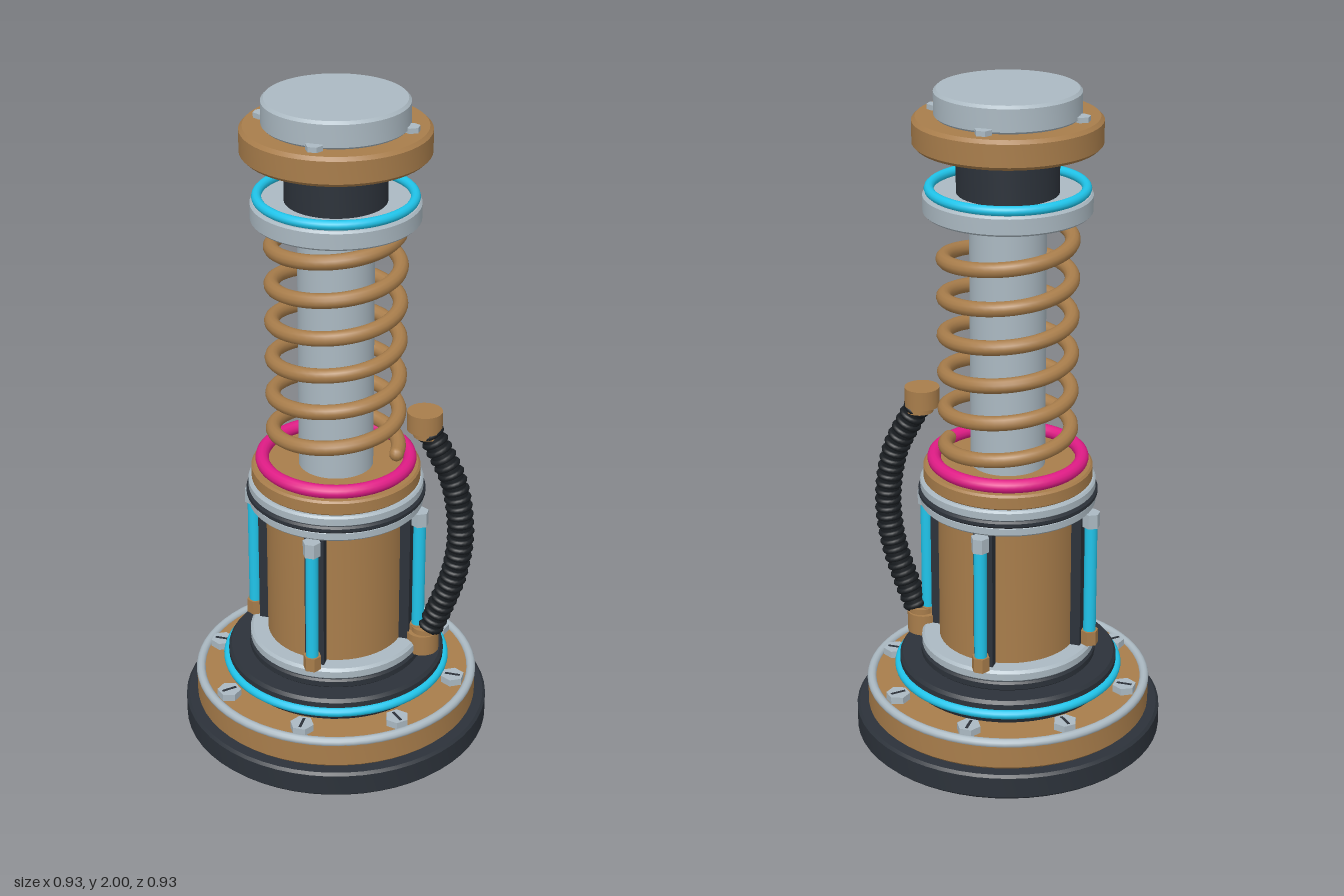
import * as THREE from 'three';
import { toCreasedNormals } from 'three/addons/utils/BufferGeometryUtils.js';

const mat = (color) => new THREE.MeshStandardMaterial({ color });

export function createModel() {
  const model = new THREE.Group();
  const brass = mat(0xa87d4b), dark = mat(0x2c323a), steel = mat(0xabb9c2);
  const cyan = mat(0x20c4ea), pink = mat(0xe01c86), rubber = mat(0x191d21);

  const add = (name, geometry, material, parent = model) => {
    const mesh = new THREE.Mesh(geometry, material);
    mesh.name = name;
    parent.add(mesh);
    return mesh;
  };

  // Closed turned part from [radius, height] pairs, bottom to top
  const turned = (name, profile, material) => {
    const points = [[0, profile[0][1]], ...profile, [0, profile[profile.length - 1][1]]];
    const lathe = new THREE.LatheGeometry(points.map(([r, y]) => new THREE.Vector2(r, y)), 56);
    return add(name, toCreasedNormals(lathe, 0.5), material);
  };
  // Disc with bevelled rims
  const disc = (name, r, y0, y1, material, b = 0.006) =>
    turned(name, [[r - b, y0], [r, y0 + b], [r, y1 - b], [r - b, y1]], material);

  const ring = (name, r, tube, y, material) => {
    const mesh = add(name, new THREE.TorusGeometry(r, tube, 12, 64), material);
    mesh.rotation.x = Math.PI / 2;
    mesh.position.y = y;
    return mesh;
  };
  const rod = (name, r, y0, y1, x, material, sides, parent) => {
    const geometry = new THREE.CylinderGeometry(r, r, y1 - y0, sides);
    const mesh = add(name, sides < 10 ? toCreasedNormals(geometry, 0.5) : geometry, material, parent);
    mesh.position.set(x, (y0 + y1) / 2, 0);
    return mesh;
  };
  // Repeats a group around the vertical axis
  const around = (name, count, build) => {
    for (let i = 0; i < count; i++) {
      const group = new THREE.Group();
      group.name = name;
      group.rotation.y = (i / count) * Math.PI * 2;
      build(group);
      model.add(group);
    }
  };

  // Base
  disc('foot', 0.465, 0, 0.08, dark, 0.008);
  disc('basePlate', 0.43, 0.08, 0.165, brass, 0.008);
  ring('basePlateRim', 0.418, 0.014, 0.163, steel);
  around('baseBolt', 8, (g) => {
    rod('boltHead', 0.036, 0.163, 0.187, 0.37, steel, 6, g);
    const slot = add('boltSlot', new THREE.BoxGeometry(0.046, 0.003, 0.008), dark, g);
    slot.position.set(0.37, 0.187, 0);
  });
  turned('baseTier', [[0.305, 0.165], [0.315, 0.185], [0.33, 0.195], [0.33, 0.238], [0.322, 0.248]], dark);
  ring('baseGlowRing', 0.332, 0.014, 0.208, cyan);

  // Lower collar and barrel
  disc('lowerCollarBand', 0.265, 0.246, 0.275, dark);
  disc('lowerCollar', 0.262, 0.273, 0.31, steel, 0.008);
  disc('barrel', 0.208, 0.3, 0.76, brass, 0.002);
  around('sideRod', 4, (g) => {
    const strip = add('backingStrip', new THREE.BoxGeometry(0.06, 0.44, 0.058), dark, g);
    strip.position.set(0.206, 0.53, 0);
    rod('glowRod', 0.019, 0.33, 0.73, 0.258, cyan, 16, g);
    rod('rodTopCap', 0.027, 0.7, 0.745, 0.258, steel, 6, g);
    rod('rodBottomCap', 0.027, 0.31, 0.355, 0.258, brass, 6, g);
  });

  // Upper collar
  disc('upperCollarLower', 0.26, 0.75, 0.782, steel);
  disc('upperCollarBand', 0.266, 0.778, 0.8, dark);
  disc('upperCollarUpper', 0.26, 0.797, 0.83, steel);
  disc('springSeat', 0.25, 0.828, 0.875, brass);
  ring('seatRing', 0.218, 0.02, 0.892, pink);

  // Piston and spring
  disc('piston', 0.11, 0.87, 1.66, steel, 0.002);
  const coil = new THREE.Curve();
  coil.getPoint = (t, target = new THREE.Vector3()) => {
    const a = t * 6 * Math.PI * 2;
    return target.set(0.184 * Math.cos(a), 0.925 + 0.69 * t, -0.184 * Math.sin(a));
  };
  add('spring', new THREE.TubeGeometry(coil, 288, 0.022, 12), brass);
  // Rounded spring ends
  [0, 1].forEach((t) => {
    add('springEnd', new THREE.SphereGeometry(0.022, 12, 8), brass).position.copy(coil.getPoint(t));
  });

  // Head
  disc('springCap', 0.241, 1.645, 1.702, steel);
  ring('capGlowRing', 0.222, 0.014, 1.714, cyan);
  disc('neck', 0.146, 1.69, 1.85, dark, 0.002);
  disc('headPlate', 0.268, 1.838, 1.922, brass, 0.01);
  disc('headButton', 0.207, 1.92, 2.0, steel, 0.008);
  around('headBolt', 4, (g) => rod('headBoltHead', 0.025, 1.915, 1.937, 0.213, steel, 6, g));

  // Ribbed hose with end fittings
  const path = new THREE.CatmullRomCurve3([
    [0.268, 1.04], [0.3, 0.98], [0.357, 0.86], [0.382, 0.7], [0.368, 0.56], [0.328, 0.43], [0.285, 0.32],
  ].map(([x, y]) => new THREE.Vector3(x, y, 0)));
  add('hose', new THREE.TubeGeometry(path, 60, 0.033, 16), rubber);
  const ribs = 26;
  for (let i = 0; i < ribs; i++) {
    const t = 0.05 + (0.9 * i) / (ribs - 1);
    const rib = add('hoseRib', new THREE.TorusGeometry(0.032, 0.009, 8, 20), rubber);
    rib.position.copy(path.getPointAt(t));
    rib.quaternion.setFromUnitVectors(new THREE.Vector3(0, 0, 1), path.getTangentAt(t));
  }
  rod('upperFitting', 0.052, 1.02, 1.078, 0.267, brass, 20);
  rod('upperFittingNeck', 0.041, 1.0, 1.03, 0.275, brass, 20);
  rod('lowerFitting', 0.05, 0.27, 0.335, 0.273, brass, 20);
  rod('lowerFittingNeck', 0.041, 0.33, 0.352, 0.28, brass, 20);

  return model;
}
